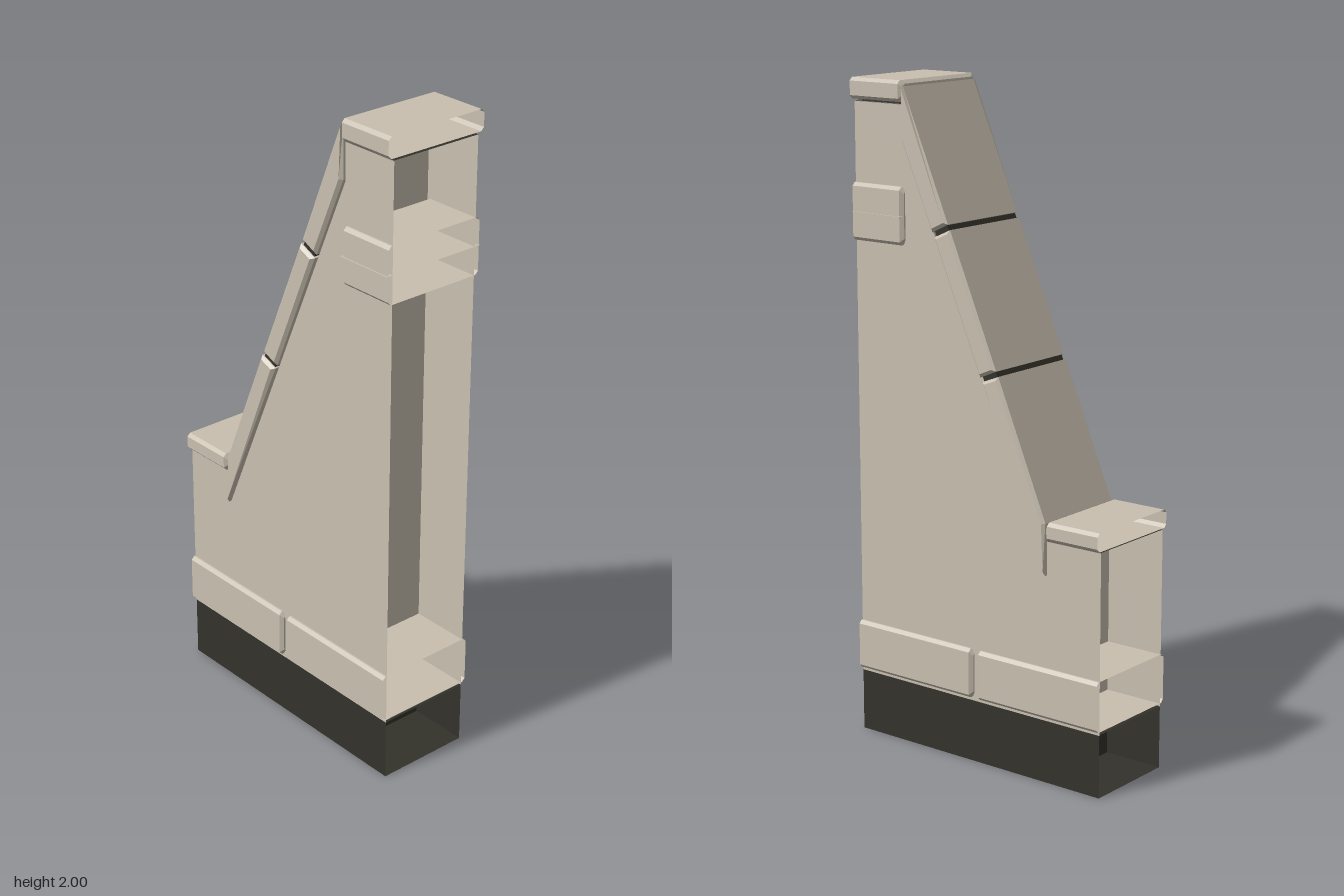
import * as THREE from 'three';

const stone = new THREE.MeshStandardMaterial({ color: 0xc8bfb0, side: THREE.DoubleSide });
stone.name = 'pale stone';
const dark = new THREE.MeshStandardMaterial({ color: 0x33322b, side: THREE.DoubleSide });
dark.name = 'dark plinth';

export function createModel() {
  const root = new THREE.Group();
  root.name = 'buttress';

  const add = (name, geometry, material, x = 0, y = 0, z = 0) => {
    const mesh = new THREE.Mesh(geometry, material);
    mesh.name = name;
    mesh.position.set(x, y, z);
    root.add(mesh);
    return mesh;
  };

  // flat panels facing along x, y or z
  const panelX = (name, mat, x, y0, y1, halfZ, dir) => {
    add(name, new THREE.PlaneGeometry(2 * halfZ, y1 - y0), mat, x, (y0 + y1) / 2).rotation.y = dir * Math.PI / 2;
  };
  const panelY = (name, mat, x0, x1, y, halfZ, dir) => {
    add(name, new THREE.PlaneGeometry(x1 - x0, 2 * halfZ), mat, (x0 + x1) / 2, y).rotation.x = -dir * Math.PI / 2;
  };
  const shapeOf = (pts) => new THREE.Shape(pts.map(([x, y]) => new THREE.Vector2(x, y)));

  // chamfered stone, closed at the inner end and open at the outer end
  const openBlock = (name, inner, outer, y0, y1, d, c = 0.01) => {
    const dir = Math.sign(outer - inner);
    const ring = (x, i) => {
      const a = y0 + i, b = y1 - i, w = d - i;
      return [[a, -w + c], [a, w - c], [a + c, w], [b - c, w], [b, w - c], [b, -w + c], [b - c, -w], [a + c, -w]]
        .map(([y, z]) => [x, y, z]);
    };
    const rings = [ring(inner, c), ring(inner + dir * c, 0), ring(outer, 0)];
    const pos = [];
    const tri = (p, q, r) => pos.push(...(dir > 0 ? [...p, ...r, ...q] : [...p, ...q, ...r]));
    for (let k = 0; k < 2; k++) {
      for (let i = 0; i < 8; i++) {
        const j = (i + 1) % 8;
        tri(rings[k][i], rings[k][j], rings[k + 1][i]);
        tri(rings[k][j], rings[k + 1][j], rings[k + 1][i]);
      }
    }
    for (let i = 1; i < 7; i++) tri(rings[0][0], rings[0][i + 1], rings[0][i]);
    const g = new THREE.BufferGeometry();
    g.setAttribute('position', new THREE.Float32BufferAttribute(pos, 3));
    g.computeVertexNormals();
    add(name, g, stone);
  };

  // front and back walls of the plinth and the stepped, sloping body
  const body = shapeOf([[-0.45, 0.19], [0.45, 0.19], [0.45, 1.93], [0.26, 1.93],
    [0.26, 1.82], [-0.26, 0.63], [-0.26, 0.73], [-0.45, 0.73]]);
  const plinth = shapeOf([[-0.45, 0], [0.45, 0], [0.45, 0.19], [-0.45, 0.19]]);
  for (const side of [1, -1]) {
    const label = side > 0 ? 'front' : 'back';
    for (const [part, shape, mat] of [['Wall', body, stone], ['Plinth', plinth, dark]]) {
      const g = new THREE.ShapeGeometry(shape);
      if (side < 0) g.scale(-1, 1, 1).rotateY(Math.PI).scale(1, 1, 1);
      add(label + part, g, mat, 0, 0, side * 0.15);
    }
  }

  // plinth floor and top, inner partitions behind the open ends
  panelY('plinthFloor', dark, -0.45, 0.45, 0, 0.15, -1);
  panelY('plinthTop', dark, -0.45, 0.45, 0.192, 0.15, 1);
  for (const side of [1, -1]) {
    panelX('plinthPartition', dark, side * 0.26, 0, 0.19, 0.15, side);
    panelX('bodyPartition', stone, side * 0.26, 0.19, side > 0 ? 1.93 : 0.73, 0.15, side);
  }

  // base course and the raised band near the top
  openBlock('leftBaseStone', 0.008, 0.45, 0.2, 0.352, 0.165);
  openBlock('rightBaseStone', -0.008, -0.45, 0.2, 0.352, 0.165);
  openBlock('bandStone', 0.26, 0.45, 1.525, 1.695, 0.165);
  panelY('bandJoint', stone, 0.262, 0.45, 1.61, 0.17, 1);

  // capstones with dark joints under them
  openBlock('topCap', 0.257, 0.45, 1.938, 2, 0.17);
  openBlock('lowCap', -0.262, -0.45, 0.735, 0.79, 0.167);
  panelY('topJoint', dark, 0.26, 0.45, 1.932, 0.15, 1);
  panelY('lowJoint', dark, -0.45, -0.26, 0.732, 0.15, 1);

  // sloping coping slabs with bevelled edges
  const bevel = 0.009;
  const slabs = [
    [[-0.26, 0.63], [-0.032, 1.163], [-0.09, 1.186], [-0.26, 0.785]],
    [[-0.024, 1.175], [0.143, 1.562], [0.085, 1.588], [-0.082, 1.2]],
    [[0.151, 1.575], [0.26, 1.825], [0.26, 1.99], [0.093, 1.603]],
  ];
  slabs.forEach((pts, i) => {
    const g = new THREE.ExtrudeGeometry(shapeOf(pts), {
      depth: 0.334 - 2 * bevel, bevelEnabled: true, bevelSegments: 1,
      bevelThickness: bevel, bevelSize: bevel, bevelOffset: -bevel,
    });
    add('copingSlab' + (i + 1), g, stone, 0, 0, -0.167 + bevel);
  });

  // dark joints between the coping slabs
  for (const [x, y] of [[-0.057, 1.181], [0.118, 1.582]]) {
    const joint = add('copingJoint', new THREE.BoxGeometry(0.05, 0.03, 0.31), dark, x, y);
    joint.rotation.z = -0.406;
  }
  return root;
}
